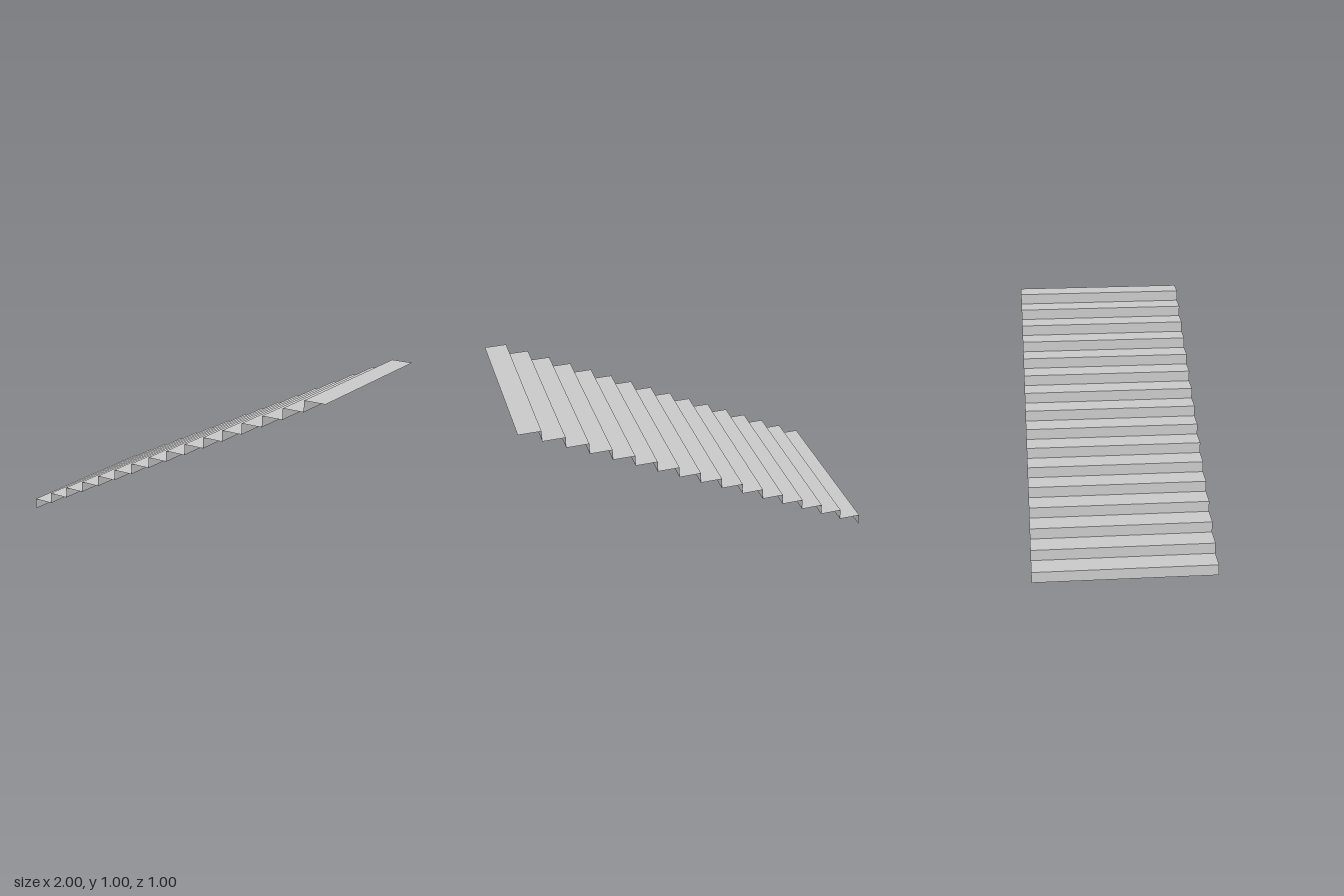
import * as THREE from 'three';

const STEPS = 16, RUN = 2 / STEPS, RISE = 1 / STEPS, WIDTH = 1;

export function createModel() {
  const group = new THREE.Group();
  group.name = 'staircase';
  const material = new THREE.MeshStandardMaterial({
    color: 0xcccccc, flatShading: true, side: THREE.DoubleSide,
  });

  // Tread faces up, riser faces the foot of the stairs (-x)
  const treadGeometry = new THREE.PlaneGeometry(RUN, WIDTH).rotateX(-Math.PI / 2);
  const riserGeometry = new THREE.PlaneGeometry(WIDTH, RISE).rotateY(-Math.PI / 2);

  const addSheet = (name, geometry, x, y) => {
    const mesh = new THREE.Mesh(geometry, material);
    mesh.name = name;
    mesh.position.set(x, y, 0);
    group.add(mesh);
  };

  // Thin folded flight climbing towards +x
  for (let i = 0; i < STEPS; i++) {
    const x = -1 + i * RUN, y = i * RISE;
    addSheet(`riser${i + 1}`, riserGeometry, x, y + RISE / 2);
    addSheet(`tread${i + 1}`, treadGeometry, x + RUN / 2, y + RISE);
  }
  return group;
}
